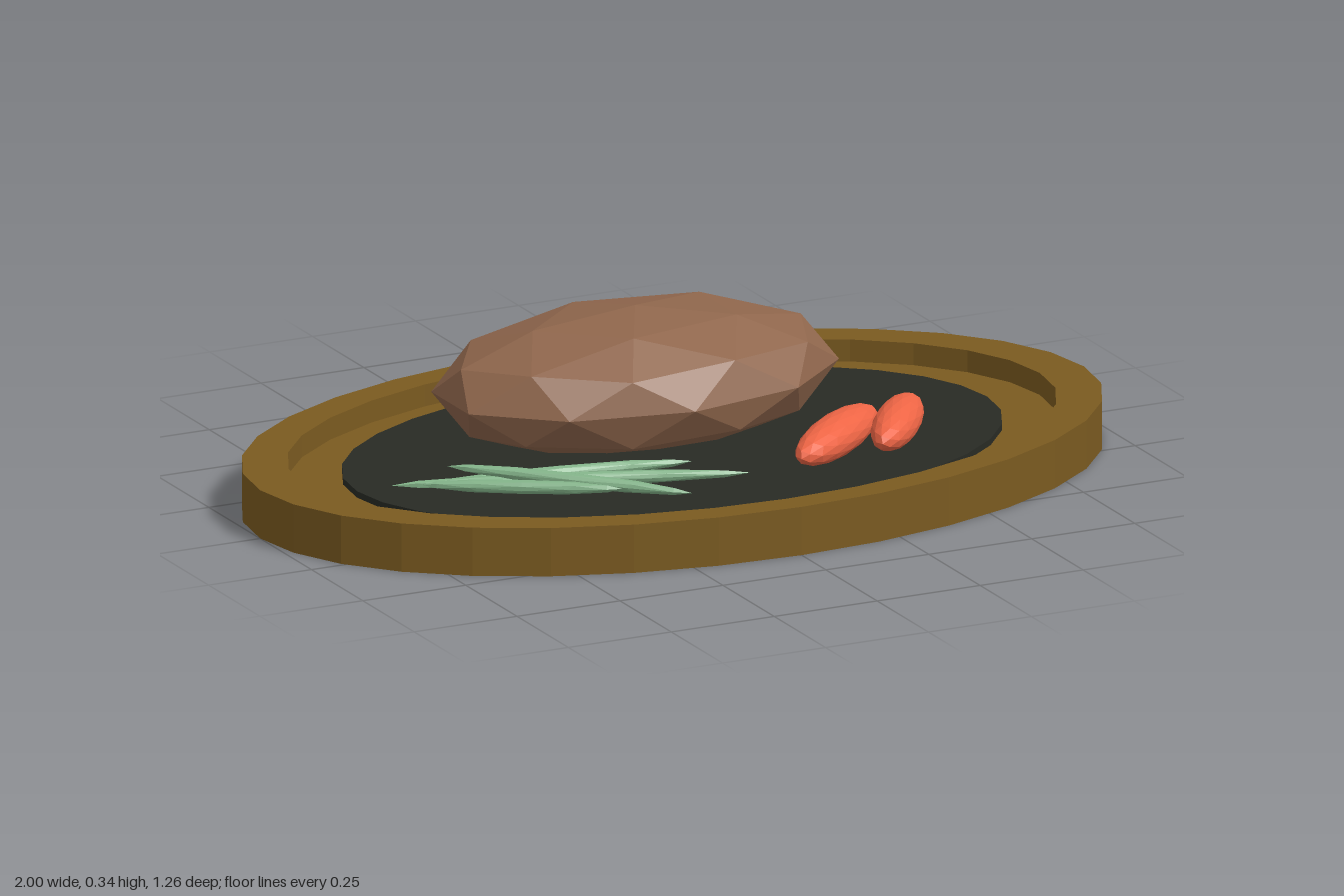
import * as THREE from 'three';

const mat = (color) => new THREE.MeshStandardMaterial({ color, flatShading: true });

// Faceted ball with a vertex at the top and a ten-sided equator
function facetedBall(detail) {
  const geo = new THREE.IcosahedronGeometry(1, detail);
  geo.rotateX(-Math.atan((1 + Math.sqrt(5)) / 2));
  geo.rotateY(-Math.PI / 2);
  return geo;
}

// Slender faceted spindle stretched between two points
function spindle(name, from, to, width, height, detail, material) {
  const a = new THREE.Vector3(...from), b = new THREE.Vector3(...to);
  const geo = facetedBall(detail);
  geo.rotateX(Math.PI / 2); // pole vertices become the tips
  geo.scale(width, height, a.distanceTo(b) / 2);
  const mesh = new THREE.Mesh(geo, material);
  mesh.name = name;
  mesh.position.copy(a).add(b).multiplyScalar(0.5);
  mesh.lookAt(b);
  return mesh;
}

export function createModel() {
  const model = new THREE.Group();
  model.name = 'steakPlatter';

  // Oval wooden tray with a raised rim
  const profile = [[0, 0], [1, 0], [1, 0.11], [0.893, 0.11], [0.893, 0.06], [0, 0.06]]
    .map(([x, y]) => new THREE.Vector2(x, y));
  const tray = new THREE.Mesh(new THREE.LatheGeometry(profile, 32), mat(0x7a5a20));
  tray.name = 'woodenTray';
  tray.scale.z = 0.632;
  model.add(tray);

  // Dark hot plate set into the tray
  const plate = new THREE.Mesh(new THREE.CylinderGeometry(1, 1, 0.035, 32), mat(0x282a24));
  plate.name = 'hotPlate';
  plate.scale.set(0.765, 1, 0.497);
  plate.position.y = 0.057;
  model.add(plate);

  // Steak
  const steak = new THREE.Mesh(facetedBall(1).scale(0.473, 0.16, 0.295), mat(0x8f664c));
  steak.name = 'steak';
  steak.position.set(0, 0.18, -0.18);
  model.add(steak);

  // Carrots
  const carrots = new THREE.Group();
  carrots.name = 'carrots';
  const orange = mat(0xee6545);
  carrots.add(
    spindle('carrot', [0.15, 0.112, 0.33], [0.445, 0.112, 0.08], 0.054, 0.045, 2, orange),
    spindle('carrot', [0.345, 0.12, 0.335], [0.545, 0.12, 0.075], 0.05, 0.045, 2, orange));
  model.add(carrots);

  // Green beans, loosely crossed
  const beans = new THREE.Group();
  beans.name = 'greenBeans';
  const green = mat(0x82b288);
  const ends = [
    [[-0.62, 0.09, 0.07], [-0.03, 0.085, 0.16]],
    [[-0.7, 0.088, 0.035], [0.04, 0.09, 0.305]],
    [[-0.64, 0.09, 0.065], [-0.27, 0.095, 0.3]],
    [[-0.567, 0.116, 0.043], [-0.135, 0.086, 0.37]],
  ];
  for (const [from, to] of ends) beans.add(spindle('greenBean', from, to, 0.017, 0.016, 1, green));
  model.add(beans);

  return model;
}
